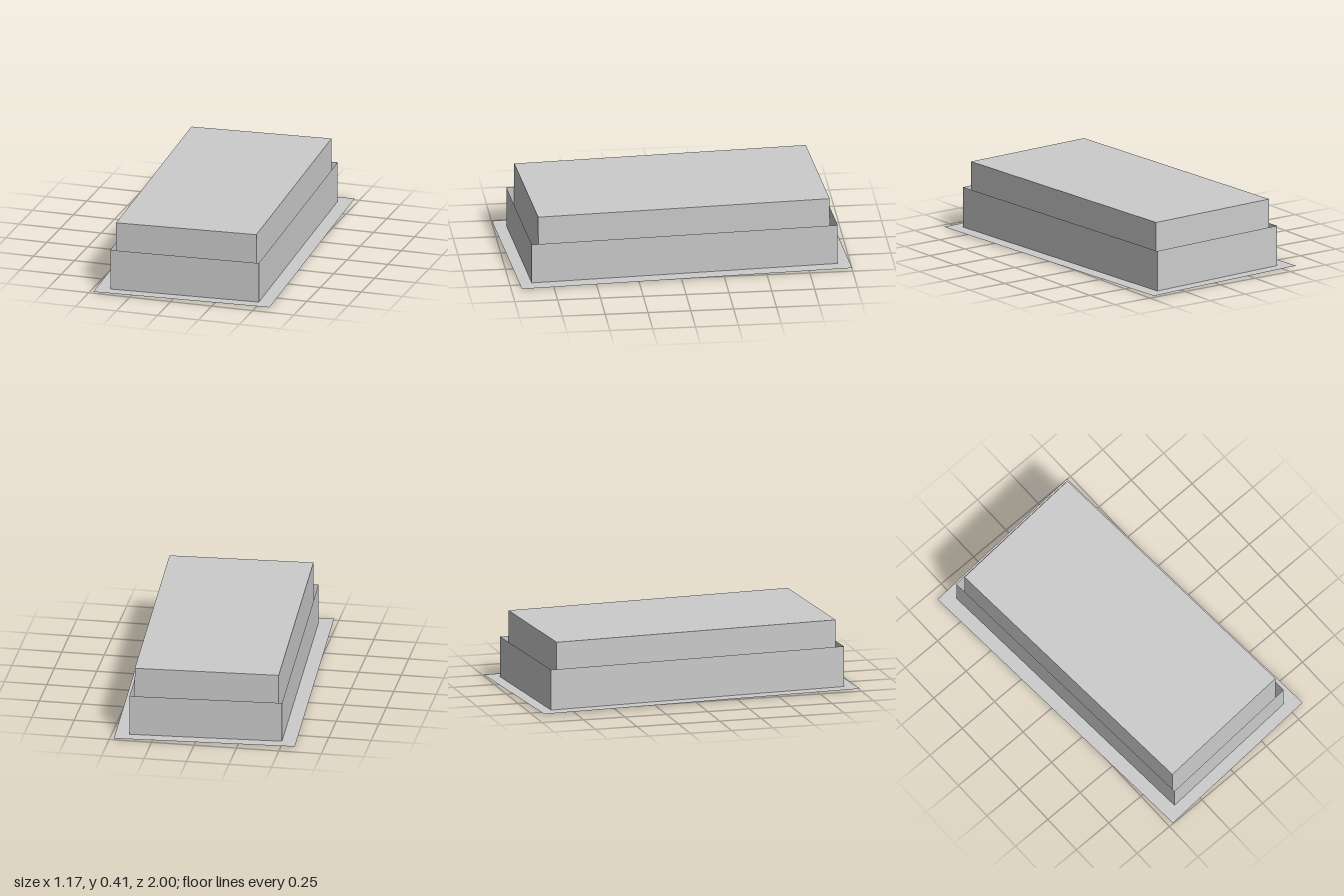
import * as THREE from 'three';

const W = 0.891, L = 1.80;            // sleeve footprint
const BASE = 0.01, RIM = 0.25;        // sleeve bottom and top

function rectangle(Type, w, l) {
  return new Type([[-w, -l], [w, -l], [w, l], [-w, l]].map(([x, y]) => new THREE.Vector2(x / 2, y / 2)));
}

export function createModel() {
  const group = new THREE.Group();
  group.name = 'recessedPanel';
  const solid = new THREE.MeshStandardMaterial({ color: 0xcccccc });
  const sheet = new THREE.MeshStandardMaterial({ color: 0xcccccc, side: THREE.DoubleSide });

  const add = (name, geometry, material, parent = group) => {
    const mesh = new THREE.Mesh(geometry, material);
    mesh.name = name;
    parent.add(mesh);
    return mesh;
  };

  // Closed inner block, leaning very slightly to one side
  const block = add('innerBlock', new THREE.BoxGeometry(0.841, 0.404, 1.715), solid);
  block.position.y = 0.205;
  block.rotation.z = 0.004;

  // Open sleeve of four thin walls around the block
  const sleeve = new THREE.Group();
  sleeve.name = 'sleeve';
  group.add(sleeve);
  for (let i = 0; i < 4; i++) {
    const endWall = i % 2 === 0;
    const wall = add('sleeveWall', new THREE.PlaneGeometry(endWall ? W : L, RIM - BASE), sheet, sleeve);
    const angle = i * Math.PI / 2;
    const reach = (endWall ? L : W) / 2;
    wall.rotation.y = angle;
    wall.position.set(Math.sin(angle) * reach, (BASE + RIM) / 2, Math.cos(angle) * reach);
  }

  // Flat flange around the foot of the sleeve
  const outline = rectangle(THREE.Shape, 1.057, 1.943);
  outline.holes.push(rectangle(THREE.Path, W, L));
  const flange = add('flange', new THREE.ShapeGeometry(outline), sheet);
  flange.rotation.x = -Math.PI / 2;
  flange.position.y = BASE;

  // The whole assembly is turned a little about the vertical
  group.rotation.y = 0.057;
  return group;
}
